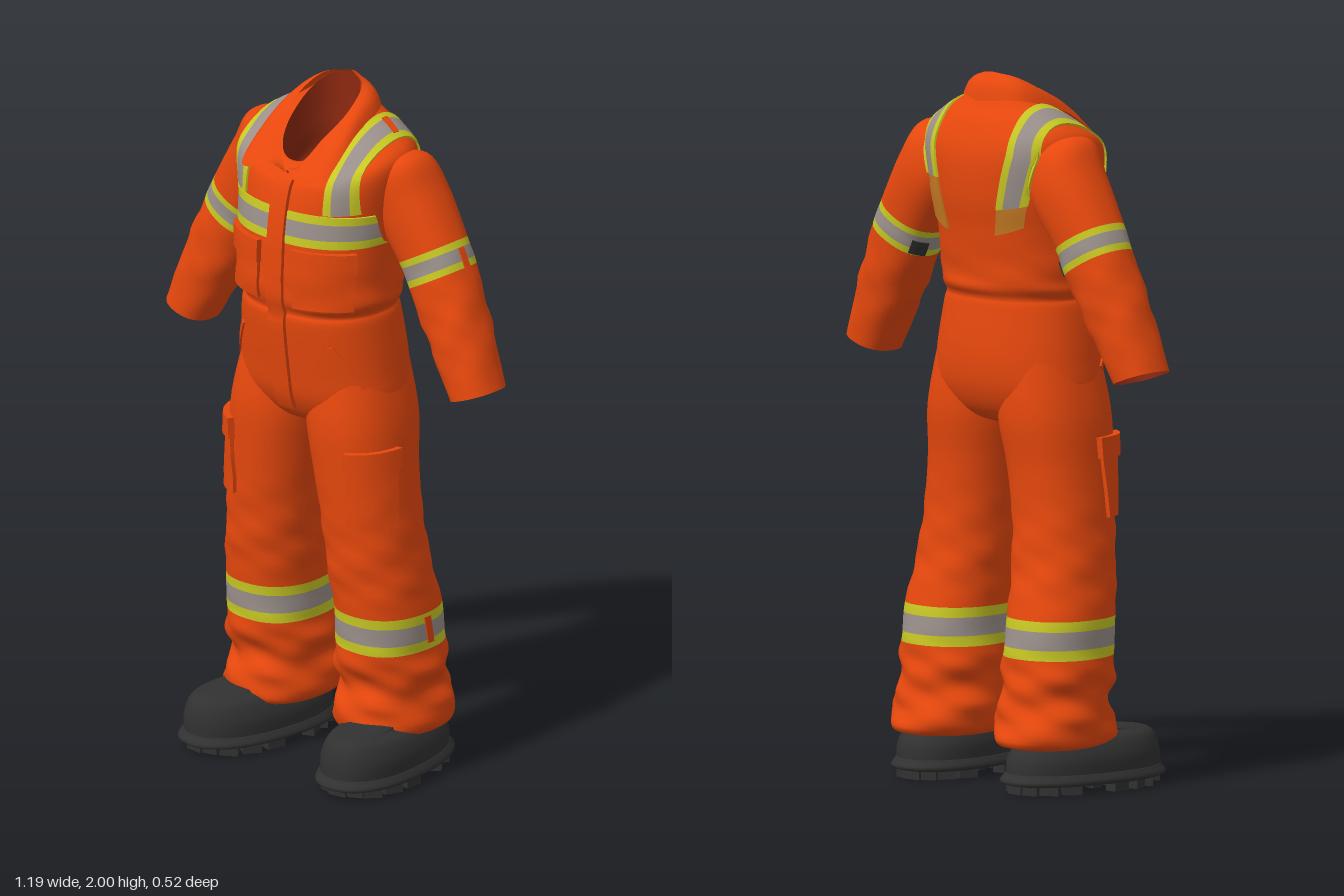
import * as THREE from 'three';
import { toCreasedNormals } from 'three/addons/utils/BufferGeometryUtils.js';

const mat = (name, color) => {
  const m = new THREE.MeshStandardMaterial({ color, side: THREE.DoubleSide });
  m.name = name;
  return m;
};
const V = (x, y, z) => new THREE.Vector3(x, y, z);
const pw = (c, p) => Math.sign(c) * Math.abs(c) ** p;

// A section is [cx, cy, cz, rx, rz, roll, tilt, lift, wrinkle]; parameters are splined between sections.
function sectionAt(secs, t) {
  const n = secs.length - 1, i = Math.min(Math.floor(t), n - 1), f = t - i;
  const [a, b, c, d] = [i - 1, i, i + 1, i + 2].map(k => secs[Math.min(Math.max(k, 0), n)]);
  return Array.from({ length: 9 }, (_, k) => {
    const [p, q, r, s] = [a[k] || 0, b[k] || 0, c[k] || 0, d[k] || 0];
    return q + 0.5 * f * (r - p + f * (2 * p - 5 * q + 4 * r - s + f * (3 * (q - r) + s - p)));
  });
}
function tAtY(secs, y) {
  let lo = 0, hi = secs.length - 1;
  for (let i = 0; i < 30; i++) {
    const m = (lo + hi) / 2;
    if (sectionAt(secs, m)[1] > y) lo = m; else hi = m;
  }
  return (lo + hi) / 2;
}
function ringPoint([cx, cy, cz, rx, rz, roll, tilt, lift, w], a) {
  const k = 1 + w * (Math.sin(3 * a + cy * 45) + 0.6 * Math.sin(5 * a - cy * 75));
  const c = pw(Math.cos(a), 0.88) * rx * k, s = pw(Math.sin(a), 0.88) * rz * k;
  return [cx + c * Math.cos(roll), cy + c * Math.sin(roll) - tilt * s + lift * Math.cos(a) ** 2, cz + s];
}

// Smooth tube through sections listed from top to bottom; bands are [lower y, material].
function loft(name, secs, bands, seg = 40) {
  const pos = [], idx = [], geo = new THREE.BufferGeometry(), mats = [];
  const ts = [0];
  let t0 = 0;
  bands.forEach(([y, m], b) => {
    const t1 = b === bands.length - 1 ? secs.length - 1 : tAtY(secs, y);
    const rows = Math.max(2, Math.ceil((t1 - t0) * 6)), start = (ts.length - 1) * seg * 6;
    for (let i = 1; i <= rows; i++) ts.push(t0 + (t1 - t0) * i / rows);
    geo.addGroup(start, rows * seg * 6, b);
    mats.push(m);
    t0 = t1;
  });
  ts.forEach((t, i) => {
    const s = sectionAt(secs, t);
    for (let j = 0; j < seg; j++) {
      pos.push(...ringPoint(s, j / seg * Math.PI * 2));
      if (i) {
        const k = (j + 1) % seg, p = (i - 1) * seg, q = i * seg;
        idx.push(p + j, p + k, q + j, p + k, q + k, q + j);
      }
    }
  });
  geo.setAttribute('position', new THREE.Float32BufferAttribute(pos, 3));
  geo.setIndex(idx);
  geo.computeVertexNormals();
  const mesh = new THREE.Mesh(geo, mats);
  mesh.name = name;
  return mesh;
}

// Grid surface from a point function of the column and row
function grid(name, m, nu, nv, fn) {
  const pos = [], idx = [], w = nu + 1;
  for (let j = 0; j <= nv; j++) for (let i = 0; i <= nu; i++) {
    pos.push(...fn(i, j).toArray());
    if (i && j) {
      const d = j * w + i, c = d - 1, b = d - w, a = b - 1;
      idx.push(a, b, d, a, d, c);
    }
  }
  const geo = new THREE.BufferGeometry();
  geo.setAttribute('position', new THREE.Float32BufferAttribute(pos, 3));
  geo.setIndex(idx);
  const mesh = new THREE.Mesh(toCreasedNormals(geo, 0.7), m);
  mesh.name = name;
  return mesh;
}

// Pad laid on the cloth by casting rays; its rim sinks into the cloth.
const caster = new THREE.Raycaster();
function pad(name, m, targets, nu, nv, off, ray) {
  let last = V(0, 1.5, 0);
  return grid(name, m, nu + 2, nv + 2, (i, j) => {
    const rim = i === 0 || j === 0 || i === nu + 2 || j === nv + 2;
    const c = (k, n) => Math.min(Math.max(k - 1, 0), n) / n;
    const [o, d] = ray(c(i, nu), c(j, nv));
    caster.set(o, d.normalize());
    const hit = caster.intersectObjects(targets)[0];
    if (!hit) return last.clone();
    const n = hit.face.normal.clone();
    if (n.dot(d) > 0) n.negate();
    last = hit.point.clone().addScaledVector(n, rim ? -0.004 : off);
    return last.clone();
  });
}
// Four corners [a, y] in a vertical plane turned by yaw: bottom left, bottom right, top right, top left
function patch(name, m, targets, yaw, corners, off, nu = 8, nv = 6, base = V(0, 0, 0)) {
  const R = V(Math.cos(yaw), 0, -Math.sin(yaw)), D = V(Math.sin(yaw), 0, Math.cos(yaw));
  const [A, B, C, E] = corners.map(c => new THREE.Vector2(...c));
  return pad(name, m, targets, nu, nv, off, (u, v) => {
    const p = A.clone().lerp(B, u).lerp(E.clone().lerp(C, u), v);
    return [base.clone().addScaledVector(R, p.x).addScaledVector(D, 1).add(V(0, p.y, 0)), D.clone().negate()];
  });
}
const rect = (x0, x1, y0, y1) => [[x0, y0], [x1, y0], [x1, y1], [x0, y1]];

export function createModel() {
  const g = new THREE.Group();
  g.name = 'workCoverall';
  const orange = mat('orangeCloth', 0xe8480d), lining = mat('darkLining', 0x8c2810);
  const yellow = mat('yellowTape', 0xc8c824), silver = mat('silverTape', 0x9b908b);
  const faded = mat('fadedTape', 0xca7d24), rubber = mat('blackRubber', 0x313131);
  const pale = mat('paleLining', 0xcfc6c0);
  const add = (...m) => g.add(...m);

  // Torso and neck lining
  const neck = [0, 1.895, 0, 0.09, 0.12, 0, 0.8, 0.01];
  const torso = loft('torso', [
    neck, [0, 1.852, -0.02, 0.15, 0.145, 0, 0.42, 0.04], [0, 1.805, -0.025, 0.215, 0.175, 0, 0.27, 0.058],
    [0, 1.75, -0.03, 0.27, 0.196, 0, 0.1, 0.065], [0, 1.66, -0.022, 0.25, 0.205], [0, 1.56, -0.008, 0.24, 0.203],
    [0, 1.44, 0, 0.236, 0.198, 0, 0, 0, 0.01], [0, 1.4, 0, 0.236, 0.197, 0, 0, 0, 0.01], [0, 1.372, 0, 0.22, 0.185],
    [0, 1.34, 0, 0.23, 0.19], [0, 1.2, -0.015, 0.25, 0.187], [0, 1.1, -0.018, 0.256, 0.17],
    [0, 1.03, -0.02, 0.2, 0.12], [0, 1.0, -0.02, 0.02, 0.02]], [[1, orange]], 56);
  add(torso, loft('neckLining', [neck, [0, 1.8, 0, 0.085, 0.115, 0, 0.5], [0, 1.73, 0, 0.08, 0.1, 0, 0.2],
    [0, 1.72, 0, 0.002, 0.002]], [[1.7, lining]]));

  const sleeves = [];
  for (const s of [1, -1]) {
    const side = s > 0 ? 'left' : 'right';
    const mirror = secs => secs.map(([x, y, z, a, b, roll = 0, ...r]) => [s * x, y, z, a, b, s * roll, ...r]);

    // Sleeve with reflective band
    const sleeve = loft(side + 'Sleeve', mirror([
      [0.15, 1.785, -0.055, 0.05, 0.07, 0.8], [0.212, 1.752, -0.068, 0.115, 0.1, 0.77],
      [0.268, 1.68, -0.08, 0.108, 0.105, 0.65], [0.345, 1.558, -0.08, 0.1, 0.095, 0.5],
      [0.375, 1.498, -0.08, 0.1, 0.093, 0.5, 0, 0, 0.01], [0.45, 1.345, -0.07, 0.09, 0.088, 0.45, 0, 0, 0.03],
      [0.525, 1.185, -0.06, 0.073, 0.08, 0.35]]),
      [[1.563, orange], [1.546, yellow], [1.511, silver], [1.493, yellow], [1.1, orange]]);
    sleeves.push(sleeve);
    const cuff = mirror([[0.495, 1.245, -0.06, 0.002, 0.002, 0.35],
      [0.5, 1.235, -0.06, 0.06, 0.068, 0.35], [0.525, 1.185, -0.06, 0.072, 0.079, 0.35]]);
    add(sleeve, loft(side + 'CuffLining', cuff, s > 0 ? [[1.222, pale], [1.1, rubber]] : [[1.1, lining]]));

    // Dark worn patch on the inner side of the sleeve band
    const U = V(s * 0.86, 0.5, 0), axis = V(s * 0.5, -0.86, 0), width = s > 0 ? 0.045 : 0.075;
    add(pad(side + 'WornPatch', rubber, [sleeve], 6, 4, 0.005, (u, v) => [
      V(s * 0.362, 1.526, -0.145 + width * u).addScaledVector(U, -0.3).addScaledVector(axis, -0.01 + 0.04 * v),
      U.clone()]));

    // Trouser leg with reflective band and folds over the boot
    const leg = loft(side + 'Leg', mirror([
      [0.12, 1.22, -0.02, 0.118, 0.145], [0.137, 1.05, -0.015, 0.14, 0.163], [0.155, 0.9, -0.01, 0.135, 0.15],
      [0.173, 0.75, -0.015, 0.132, 0.142, 0, 0, 0, 0.01], [0.188, 0.6, -0.03, 0.135, 0.145, 0, 0, 0, 0.02],
      [0.2, 0.48, -0.052, 0.138, 0.152], [0.2, 0.38, -0.06, 0.14, 0.155, 0, 0, 0, 0.01],
      [0.2, 0.32, -0.065, 0.15, 0.155, 0, 0, 0, 0.03], [0.2, 0.26, -0.075, 0.138, 0.148, 0, 0, 0, 0.035],
      [0.2, 0.2, -0.075, 0.153, 0.165, 0, 0, 0, 0.03], [0.205, 0.13, -0.08, 0.135, 0.165, 0, 0, 0, 0.015],
      [0.205, 0.12, -0.08, 0.01, 0.01]]),
      [[0.485, orange], [0.457, yellow], [0.405, silver], [0.376, yellow], [0.1, orange]]);
    add(leg);

    // Breaks in the left bands at the outer seams
    if (s > 0) add(
      patch('leftSleeveBandSeam', orange, [sleeve], Math.PI / 2, rect(0.072, 0.094, 1.54, 1.592), 0.004, 2, 6),
      patch('leftLegBandSeam', orange, [leg], Math.PI / 2,
        [[0.06, 0.395], [0.085, 0.395], [0.07, 0.475], [0.045, 0.475]], 0.004, 2, 6));

    // Cargo pocket and flap on the outer front of the thigh
    const base = V(s * 0.165, 0, -0.01), yaw = s * 0.78;
    add(patch(side + 'CargoPocket', orange, [leg], yaw, rect(-0.068, 0.068, 0.76, 0.95), 0.012, 8, 8, base),
      patch(side + 'CargoFlap', orange, [leg], yaw, rect(-0.074, 0.074, 0.925, 0.985), 0.02, 8, 4, base));

    // Chest pocket with flap, and slanted hip pocket welt
    const mid = s * 0.134 + 0.003;
    const welt = [[0.225, 1.16], [0.235, 1.175], [0.165, 1.29], [0.152, 1.285]].map(([x, y]) => [s * x, y]);
    add(patch(side + 'ChestPocket', orange, [torso], 0, rect(mid - 0.072, mid + 0.072, 1.4, 1.55), 0.01),
      patch(side + 'ChestFlap', orange, [torso], 0, rect(mid - 0.076, mid + 0.076, 1.505, 1.57), 0.017),
      patch(side + 'HipPocketWelt', orange, [torso], 0, welt, 0.005, 2, 8));

    // Boot: rounded upper, sole and tread blocks
    const boot = new THREE.Group();
    boot.name = side + 'Boot';
    boot.position.set(s * 0.234, 0, 0);
    boot.rotation.y = s * 0.13;
    boot.add(loft('bootUpper', [[0, 0.25, -0.09, 0.085, 0.1], [0, 0.18, -0.07, 0.09, 0.12],
      [0, 0.163, 0.03, 0.07, 0.16], [0, 0.145, 0.015, 0.105, 0.212], [0, 0.1, 0.003, 0.127, 0.24],
      [0, 0.05, 0, 0.128, 0.245]], [[0, rubber]]));
    boot.add(loft('sole', [[0, 0.056, 0, 0.12, 0.24], [0, 0.053, 0, 0.131, 0.248], [0, 0.024, 0, 0.13, 0.244],
      [0, 0.02, 0, 0.002, 0.002]], [[0, rubber]]));
    for (let i = 0; i < 18; i++) {
      const a = (i + 0.5) / 18 * Math.PI * 2, z = 0.222 * Math.sin(a);
      if (z > -0.09 && z < -0.03) continue;
      const block = new THREE.Mesh(new THREE.BoxGeometry(0.036, 0.034, 0.055), rubber);
      block.name = 'treadBlock';
      block.position.set(0.11 * Math.cos(a), z > 0.18 ? 0.024 : 0.017, z);
      block.rotation.y = -a;
      boot.add(block);
    }
    for (const z of [-0.18, -0.12, 0, 0.06, 0.12, 0.17]) {
      const bar = new THREE.Mesh(new THREE.BoxGeometry(0.13, 0.026, 0.03), rubber);
      bar.name = 'treadBar';
      bar.position.set(0, 0.018, z);
      boot.add(bar);
    }
    add(boot);
  }

  // Reflective chest band and shoulder straps, worn at their lower back ends
  const cloth = [torso, ...sleeves];
  for (const s of [1, -1]) {
    const side = s > 0 ? 'left' : 'right';
    const [x0, x1] = s > 0 ? [0.035, 0.241] : [-0.241, -0.025];
    for (const [y0, y1, m] of [[1.583, 1.607, yellow], [1.607, 1.653, silver], [1.653, 1.676, yellow]])
      add(patch(side + 'ChestBand', m, [torso], 0, rect(x0, x1, y0, y1), 0.006, 24, 3));
    const strap = (part, m, a, b, f0, f1, off) => add(pad(side + part, m, cloth, 4, Math.ceil((f1 - f0) * 14), off,
      (u, v) => {
        const f = f0 + (f1 - f0) * v, x = s * (0.14 - 0.045 * Math.max(0, f - 2.7) + a + (b - a) * u);
        const d = V(0, Math.sin(f), Math.cos(f));
        return [V(x, 1.7, -0.02).add(d), d.clone().negate()];
      }));
    const wear = s > 0 ? 3.15 : 3.5;
    for (const [a, b, m] of [[0, 0.02, yellow], [0.02, 0.063, silver], [0.063, 0.083, yellow]])
      strap('ShoulderStrap', m, a, b, -0.12, wear, 0.006);
    strap('StrapEnd', faded, 0.002, 0.081, wear, 3.82, 0.006);
    if (s > 0) strap('StrapSeam', orange, 0.016, 0.067, 1.82, 1.92, 0.0085);
  }

  // Front placket
  add(patch('placket', orange, [torso], 0, rect(-0.025, 0.032, 1.08, 1.755), 0.012, 3, 40));

  // Folded collar between its neck edge and its pointed outer edge
  const curve = pts => new THREE.CatmullRomCurve3(pts.map(p => V(...p)));
  const inner = curve([[0.006, 1.77, 0.15], [0.045, 1.815, 0.118], [0.07, 1.865, 0.08], [0.095, 1.93, 0],
    [0.07, 1.983, -0.09], [0, 1.998, -0.125]]);
  const outer = curve([[0.022, 1.795, 0.18], [0.14, 1.767, 0.175], [0.152, 1.79, 0.15], [0.148, 1.88, 0.03],
    [0.115, 1.925, -0.12], [0, 1.92, -0.178]]);
  for (const s of [1, -1]) {
    add(grid(s > 0 ? 'leftCollar' : 'rightCollar', orange, 30, 5, (i, j) => {
      const u = i / 30, v = j / 5, p = inner.getPoint(u).lerp(outer.getPoint(u), v);
      const lift = 0.018 * Math.sin(Math.PI * v);
      p.x = s * (p.x + lift * 0.4 * Math.sin(Math.PI * u));
      p.y = Math.min(p.y + lift * 0.7, 2);
      p.z += lift * (1 - 2 * u) * 0.5;
      return p;
    }));
  }
  return g;
}
